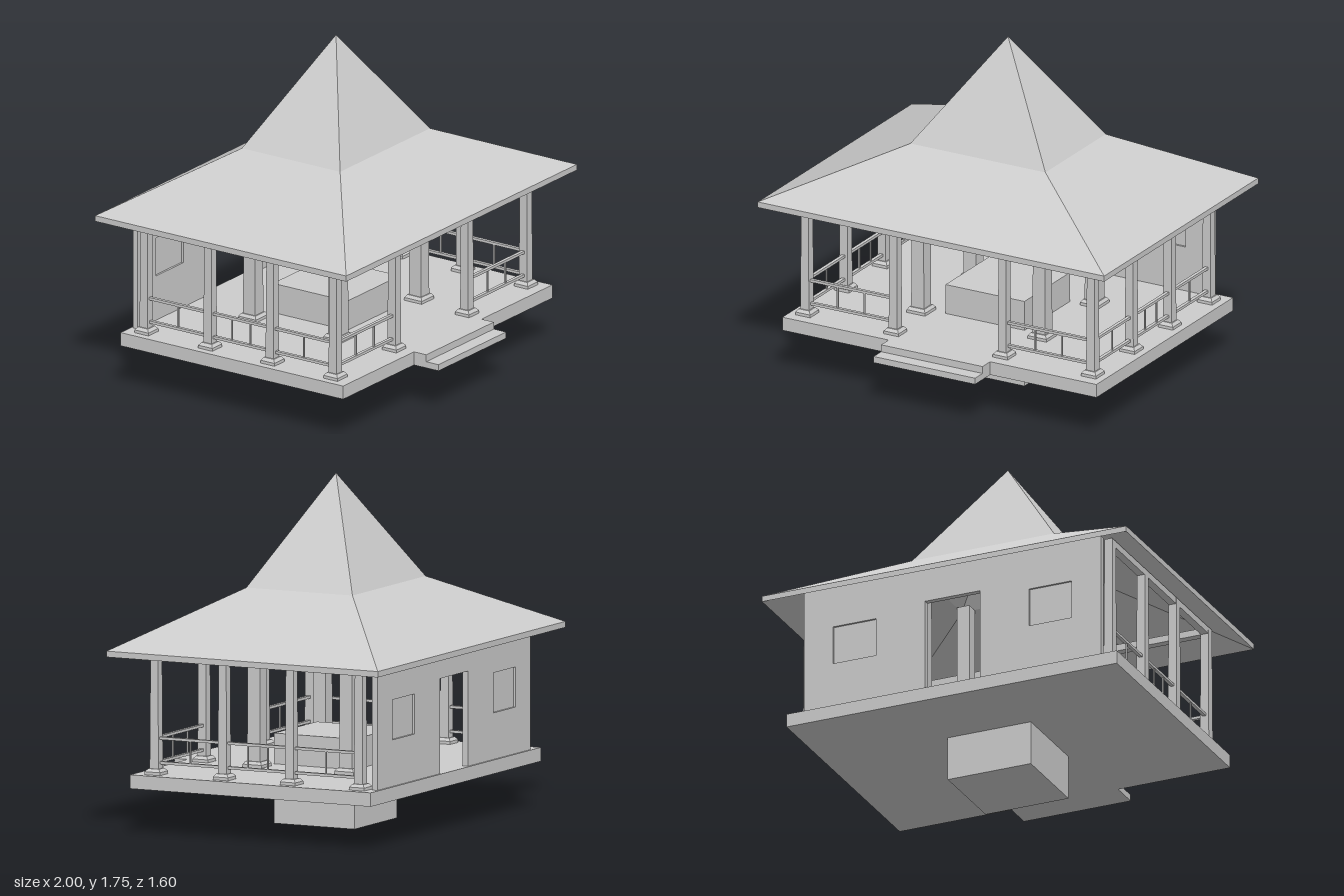
import * as THREE from 'three';

export function createModel() {
  const model = new THREE.Group();
  model.name = 'pavilion';
  const grey = new THREE.MeshStandardMaterial({ color: 0xcccccc });
  grey.name = 'plain grey';
  grey.flatShading = true;

  const add = (geometry, name, parent = model) => {
    const mesh = new THREE.Mesh(geometry, grey);
    mesh.name = name;
    parent.add(mesh);
    return mesh;
  };
  // Box given by its extents
  const box = (name, x0, x1, y0, y1, z0, z1, parent) => {
    const mesh = add(new THREE.BoxGeometry(x1 - x0, y1 - y0, z1 - z0), name, parent);
    mesh.position.set((x0 + x1) / 2, (y0 + y1) / 2, (z0 + z1) / 2);
    return mesh;
  };
  // Square tapered block standing on y0
  const taper = (name, bottom, top, y0, y1, parent) => {
    const g = new THREE.CylinderGeometry(top / Math.SQRT2, bottom / Math.SQRT2, y1 - y0, 4);
    g.rotateY(Math.PI / 4).translate(0, (y0 + y1) / 2, 0);
    return add(g, name, parent);
  };

  // Platform, steps and central plinth
  box('platform', -0.907, 0.907, 0.23, 0.3, -0.71, 0.65);
  box('upperStep', -0.293, 0.293, 0.23, 0.3, 0.65, 0.725);
  box('lowerStep', -0.293, 0.293, 0.23, 0.263, 0.725, 0.8);
  box('centralPlinth', -0.228, 0.228, 0, 0.455, -0.258, 0.196);

  // Hollow hipped roof: square rings from inner apex, over the eave, to outer apex
  const rings = [
    [0, 0, 1.7], [0.39, 0.3, 1.175], [1, 0.767, 0.9],
    [1, 0.767, 0.93], [0.39, 0.3, 1.205], [0, 0, 1.755],
  ];
  const corners = [[1, 1], [1, -1], [-1, -1], [-1, 1]];
  const positions = [];
  for (let i = 0; i < rings.length - 1; i++) {
    for (let k = 0; k < 4; k++) {
      const at = (ring, c) => [ring[0] * c[0], ring[2], ring[1] * c[1] - 0.033];
      const c0 = corners[k], c1 = corners[(k + 1) % 4];
      const a = rings[i], b = rings[i + 1];
      if (a[0] > 0) positions.push(...at(a, c0), ...at(a, c1), ...at(b, c1));
      if (b[0] > 0) positions.push(...at(a, c0), ...at(b, c1), ...at(b, c0));
    }
  }
  const roof = new THREE.BufferGeometry();
  roof.setAttribute('position', new THREE.Float32BufferAttribute(positions, 3));
  roof.computeVertexNormals();
  add(roof, 'roof');

  // Columns with stepped feet
  const column = (name, x, z, width, foot, top) => {
    const group = new THREE.Group();
    group.name = name;
    group.position.set(x, 0, z);
    taper('foot', foot, foot, 0.3, 0.315, group);
    taper('footBevel', foot, width + 0.015, 0.315, 0.33, group);
    taper('shaft', width + 0.003, width - 0.004, 0.33, top, group);
    model.add(group);
  };
  const sideZ = [0.545, 0.16, -0.22, -0.61];
  for (const s of [-1, 1]) {
    for (const z of sideZ) column('outerColumn', s * 0.825, z, 0.046, 0.086, 0.965);
    column('entranceColumn', s * 0.315, 0.545, 0.046, 0.086, 0.98);
    for (const z of [0.228, -0.292]) column('innerColumn', s * 0.35, z, 0.07, 0.107, 1.17);
  }

  // Railing bay from a to b, along x (at fixed z) or along z (at fixed x)
  const railing = (alongX, fixed, a, b, posts) => {
    const group = new THREE.Group();
    group.name = 'railing';
    const bar = (name, p0, p1, y0, y1, t) => alongX
      ? box(name, p0, p1, y0, y1, fixed - t, fixed + t, group)
      : box(name, fixed - t, fixed + t, y0, y1, p0, p1, group);
    bar('topRail', a, b, 0.477, 0.491, 0.009);
    bar('bottomRail', a, b, 0.353, 0.367, 0.009);
    for (let i = 1; i <= posts; i++) {
      const p = a + (b - a) * i / (posts + 1);
      bar('baluster', p - 0.004, p + 0.004, 0.367, 0.477, 0.004);
    }
    model.add(group);
  };
  railing(true, 0.545, -0.803, -0.337, 2);
  railing(true, 0.545, 0.337, 0.803, 2);
  for (const s of [-1, 1]) {
    for (let i = 0; i < 3; i++) {
      railing(false, s * 0.825, sideZ[i + 1] + 0.022, sideZ[i] - 0.022, i === 1 ? 2 : 1);
    }
    box('sideBeam', s * 0.825 - 0.02, s * 0.825 + 0.02, 0.93, 0.965, -0.63, 0.565);
  }
  box('frontBeam', -0.805, 0.805, 0.93, 0.965, 0.525, 0.565);

  // Back wall with a doorway and two recessed windows
  const wall = new THREE.Shape([
    [-0.815, 0.3], [-0.15, 0.3], [-0.15, 0.78], [0.15, 0.78],
    [0.15, 0.3], [0.815, 0.3], [0.815, 0.955], [-0.815, 0.955],
  ].map(([x, y]) => new THREE.Vector2(x, y)));
  for (const s of [-1, 1]) {
    wall.holes.push(new THREE.Path([
      [0.42, 0.535], [0.42, 0.737], [0.655, 0.737], [0.655, 0.535],
    ].map(([x, y]) => new THREE.Vector2(s * x, y))));
    const x = s * 0.5375;
    box('windowPanel', x - 0.1175, x + 0.1175, 0.535, 0.737, -0.689, -0.681);
  }
  const wallMesh = add(new THREE.ExtrudeGeometry(wall, { depth: 0.03, bevelEnabled: false }), 'backWall');
  wallMesh.position.z = -0.7;

  return model;
}
